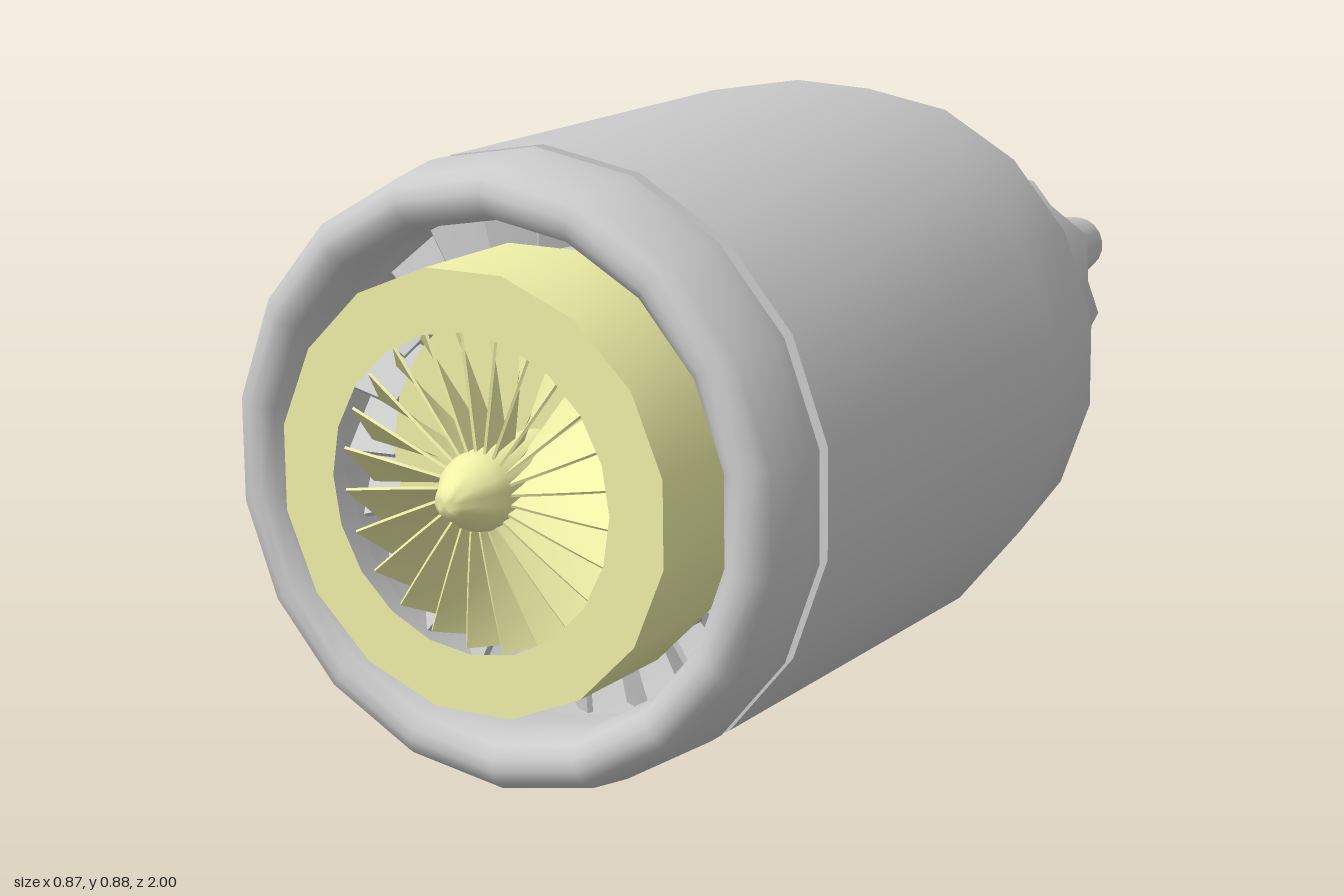
import * as THREE from 'three';
import { toCreasedNormals } from 'three/addons/utils/BufferGeometryUtils.js';

const SIDES = 18;
const CENTRE_Y = 0.4425;

export function createModel() {
  const model = new THREE.Group();
  model.name = 'jetEngine';
  const grey = new THREE.MeshStandardMaterial({ color: 0xcccccc });
  const yellow = new THREE.MeshStandardMaterial({ color: 0xf0f0a8 });

  const add = (name, geometry, material = grey) => {
    const mesh = new THREE.Mesh(geometry, material);
    mesh.name = name;
    mesh.position.y = CENTRE_Y;
    model.add(mesh);
    return mesh;
  };

  // Revolves [radius, z] points about the engine axis, rear to front on the outside
  const revolve = (points, sides = SIDES) =>
    new THREE.LatheGeometry(points.map(([r, z]) => new THREE.Vector2(r, z)), sides).rotateX(Math.PI / 2);
  const smooth = (geometry, crease = 0.8) => toCreasedNormals(geometry, crease);

  // Ring of twisted blades; pitch runs from the root value to the tip value
  const bladeRing = (name, { count, r0, r1, chord, thick, pitch, z, material }) => {
    const geometry = new THREE.BoxGeometry(thick, r1 - r0, chord, 1, 4, 1);
    geometry.translate(0, (r0 + r1) / 2, 0);
    const pos = geometry.attributes.position;
    const v = new THREE.Vector3();
    const up = new THREE.Vector3(0, 1, 0);
    for (let i = 0; i < pos.count; i++) {
      v.fromBufferAttribute(pos, i);
      const t = (v.y - r0) / (r1 - r0);
      v.applyAxisAngle(up, THREE.MathUtils.lerp(pitch[0], pitch[1], t));
      pos.setXYZ(i, v.x, v.y, v.z);
    }
    geometry.computeVertexNormals();
    const ring = new THREE.Group();
    ring.name = name;
    ring.position.set(0, CENTRE_Y, z);
    for (let i = 0; i < count; i++) {
      const blade = new THREE.Mesh(geometry, material);
      blade.name = name + 'Blade';
      blade.rotation.z = (i / count) * Math.PI * 2;
      ring.add(blade);
    }
    model.add(ring);
  };

  // Rounded inlet lip, stepped down where it meets the cowl
  add('inletLip', smooth(revolve([
    [0.425, 0.73], [0.425, 0.77], [0.4425, 0.772], [0.4425, 0.80], [0.43, 0.88], [0.418, 0.897],
    [0.4, 0.905], [0.383, 0.903], [0.366, 0.89], [0.357, 0.86], [0.355, 0.82], [0.37, 0.73], [0.425, 0.73],
  ])));

  // Hollow cowl, tapered at the rear
  add('cowl', smooth(revolve([
    [0.382, -0.18], [0.4, -0.18], [0.4425, 0.05], [0.4425, 0.75], [0.37, 0.75], [0.41, 0.05], [0.382, -0.18],
  ])));

  // Core casing inside the duct, narrowing behind the cowl
  add('coreCasing', smooth(revolve([
    [0.238, -0.34], [0.25, -0.31], [0.296, -0.18], [0.32, -0.1], [0.3, 0.2], [0.29, 0.8],
  ])));

  // Rear nozzle with a toothed trailing edge
  const tipZ = -0.66;
  const nozzle = revolve([[0.196, tipZ], [0.253, -0.29], [0.238, -0.29], [0.184, tipZ], [0.196, tipZ]]);
  const p = nozzle.attributes.position;
  for (let i = 0; i < p.count; i++) {
    if (p.getZ(i) > tipZ + 0.01) continue;
    const step = Math.round(Math.atan2(p.getX(i), -p.getY(i)) / (Math.PI * 2 / SIDES));
    if (Math.abs(step) % 2 === 1) {
      p.setXYZ(i, p.getX(i) * 1.055, p.getY(i) * 1.055, tipZ + 0.07);
    }
  }
  add('toothedNozzle', smooth(nozzle));

  // Tail cone with a small open end and a bulkhead at its root
  add('tailCone', smooth(revolve([
    [0, -0.88], [0.036, -0.88], [0.036, -1], [0.048, -1], [0.165, -0.31], [0.222, -0.31],
  ]))).position.y += 0.012;

  // Fan shroud: a thick ring with a round opening
  const polygon = (Type, n, r, offset) => new Type(Array.from({ length: n }, (_, i) => {
    const a = (i / n) * Math.PI * 2 + offset;
    return new THREE.Vector2(r * Math.sin(a), r * Math.cos(a));
  }));
  const ringShape = polygon(THREE.Shape, 16, 0.308, Math.PI / 16);
  ringShape.holes.push(polygon(THREE.Path, 20, 0.221, 0));
  add('fanShroud', smooth(new THREE.ExtrudeGeometry(ringShape, { depth: 0.195, bevelEnabled: false })
    .translate(0, 0, 0.75)), yellow);

  // Plate closing the shroud behind the fan
  add('fanBackPlate', new THREE.CircleGeometry(0.24, 20).translate(0, 0, 0.78), yellow);

  // Rounded spinner
  add('spinner', smooth(revolve([
    [0.055, 0.78], [0.055, 0.925], [0.049, 0.945], [0.036, 0.965], [0.022, 0.99], [0.012, 0.998], [0, 1],
  ])), yellow);

  // Fan, duct guide vanes and rear struts
  bladeRing('fan', {
    count: 24, r0: 0.04, r1: 0.225, chord: 0.09, thick: 0.004, pitch: [0.25, 0.75], z: 0.88, material: yellow,
  });
  bladeRing('ductVanes', {
    count: 24, r0: 0.285, r1: 0.385, chord: 0.1, thick: 0.008, pitch: [-0.75, -0.85], z: 0.68, material: grey,
  });
  bladeRing('rearStruts', {
    count: 24, r0: 0.29, r1: 0.4, chord: 0.08, thick: 0.008, pitch: [-0.3, -0.3], z: 0.0, material: grey,
  });

  return model;
}
